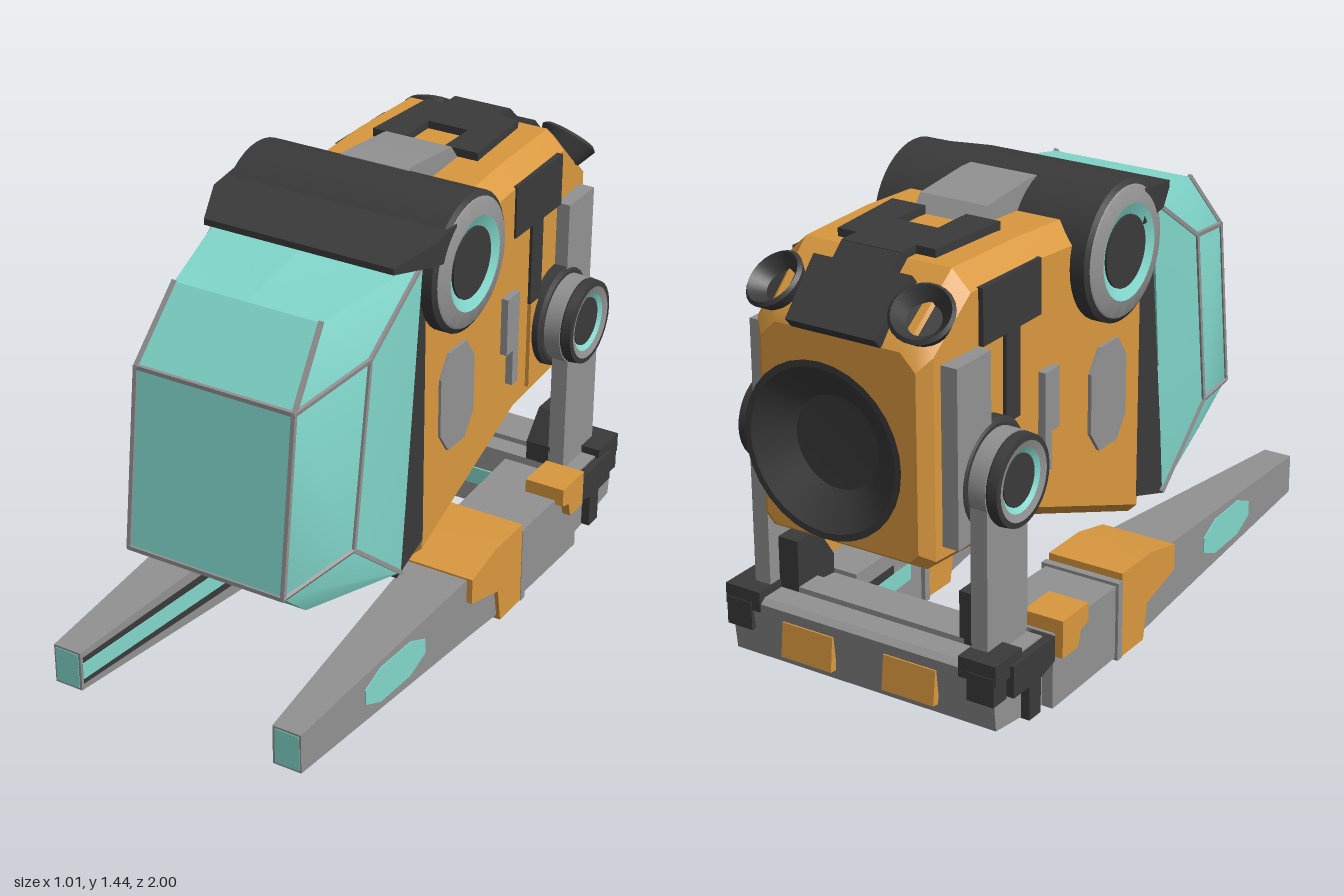
import * as THREE from 'three';
import { toCreasedNormals } from 'three/addons/utils/BufferGeometryUtils.js';

const ORANGE = 0xd9983f, TEAL = 0x82d8cc, DARK = 0x3a3a3a, GREY = 0x929292;
const mats = {};
const mat = c => (mats[c] ??= new THREE.MeshStandardMaterial({ color: c, side: THREE.DoubleSide }));
const V = (x, y, z) => new THREE.Vector3(x, y, z);

// triangles from polygons of points, fanned
function polys(faces) {
  const p = [];
  for (const f of faces)
    for (let i = 1; i < f.length - 1; i++) for (const v of [f[0], f[i], f[i + 1]]) p.push(v.x, v.y, v.z);
  const g = new THREE.BufferGeometry();
  g.setAttribute('position', new THREE.Float32BufferAttribute(p, 3));
  return g;
}

// closed loft through rings ordered front to back, each counter-clockwise seen from the front
function loft(rings) {
  const faces = [rings[0], [...rings.at(-1)].reverse()];
  for (let i = 0; i < rings.length - 1; i++)
    rings[i].forEach((a, j) => {
      const k = (j + 1) % rings[i].length;
      faces.push([a, rings[i + 1][j], rings[i + 1][k], rings[i][k]]);
    });
  return polys(faces);
}

// rectangular ring, with optional top and bottom chamfers
function rect(z, x0, x1, y0, y1, t = 0, b = 0) {
  if (!t) return [V(x0, y0, z), V(x1, y0, z), V(x1, y1, z), V(x0, y1, z)];
  return [V(x0 + b, y0, z), V(x1 - b, y0, z), V(x1, y0 + b, z), V(x1, y1 - t, z),
    V(x1 - t, y1, z), V(x0 + t, y1, z), V(x0, y1 - t, z), V(x0, y0 + b, z)];
}

const box = (x0, x1, y0, y1, z0, z1) =>
  new THREE.BoxGeometry(x1 - x0, y1 - y0, z1 - z0).translate((x0 + x1) / 2, (y0 + y1) / 2, (z0 + z1) / 2);

const extrude = (pts, depth) => new THREE.ExtrudeGeometry(
  new THREE.Shape(pts.map(p => new THREE.Vector2(...p))), { depth, bevelEnabled: false });

// plate with a [z, y] outline between two x values
const sidePlate = (pts, x0, x1) =>
  extrude(pts.map(([z, y]) => [-z, y]), x1 - x0).rotateY(Math.PI / 2).translate(x0, 0, 0);

// symmetric plate lying flat, from its right half [x, z] outline
const topPlate = (half, y, h) =>
  extrude([...half, ...half.map(([x, z]) => [-x, z]).reverse()].map(([x, z]) => [x, -z]), h)
    .rotateX(-Math.PI / 2).translate(0, y, 0);

// turned part: [radius, height] profile along a direction
function turned(profile, dir, pos, sides = 32) {
  const q = new THREE.Quaternion().setFromUnitVectors(V(0, 1, 0), dir.clone().normalize());
  return new THREE.LatheGeometry(profile.map(p => new THREE.Vector2(...p)), sides)
    .applyQuaternion(q).translate(pos.x, pos.y, pos.z);
}

function bar(a, b, w) {
  const q = new THREE.Quaternion().setFromUnitVectors(V(0, 0, 1), b.clone().sub(a).normalize());
  const m = a.clone().add(b).multiplyScalar(0.5);
  return new THREE.BoxGeometry(w, w, a.distanceTo(b) + w * 0.6).applyQuaternion(q).translate(m.x, m.y, m.z);
}

// octagonal outline in [z, y]
const octagon = (z0, z1, y0, y1, cz, cy) => [[z0 + cz, y0], [z1 - cz, y0], [z1, y0 + cy], [z1, y1 - cy],
  [z1 - cz, y1], [z0 + cz, y1], [z0, y1 - cy], [z0, y0 + cy]];

function mirrored(geo) {
  const g = geo.index ? geo.toNonIndexed() : geo.clone();
  g.scale(-1, 1, 1);
  const p = g.attributes.position, a = V(0, 0, 0), b = V(0, 0, 0);
  for (let i = 0; i < p.count; i += 3) {
    a.fromBufferAttribute(p, i + 1); b.fromBufferAttribute(p, i + 2);
    p.setXYZ(i + 1, b.x, b.y, b.z); p.setXYZ(i + 2, a.x, a.y, a.z);
  }
  return g;
}

export function createModel() {
  const root = new THREE.Group();
  root.name = 'podCraft';
  const add = (name, color, geo) => {
    const m = new THREE.Mesh(toCreasedNormals(geo, 0.45), mat(color));
    m.name = name;
    root.add(m);
  };
  const pair = (name, color, geo) => {
    add(name + 'Left', color, geo);
    add(name + 'Right', color, mirrored(geo));
  };
  const X = V(1, 0, 0);

  // main hull
  add('hull', ORANGE, loft([
    rect(0.16, -0.325, 0.325, 0.30, 1.33, 0.06, 0.03), rect(-0.42, -0.315, 0.315, 0.52, 1.365, 0.06, 0.03),
    rect(-0.72, -0.305, 0.305, 0.53, 1.365, 0.06, 0.03), rect(-0.885, -0.295, 0.295, 0.535, 1.23, 0.06, 0.03),
    rect(-0.92, -0.26, 0.26, 0.56, 1.18, 0.05, 0.03)]));
  add('bellyPlate', ORANGE, sidePlate([[-0.02, 0.41], [-0.04, 0.355], [-0.15, 0.395], [-0.17, 0.42], [-0.23, 0.43], [-0.23, 0.48]], -0.2, 0.2));

  // canopy: half of a faceted shell, mirrored
  const half = [[0, 1.33, 0.20], [0.245, 1.26, 0.59], [0.265, 1.06, 0.76], [0.265, 0.50, 0.83], [0.25, 0.38, 0.69], [0, 0.30, 0.32]];
  const P = half.map(p => V(...p)), C = half.map(([, y, z]) => V(0, y, z));
  const B0 = V(0.34, 1.31, 0.20), B1 = V(0.335, 0.325, 0.30), S0 = V(0.335, 1.12, 0.48), S1 = V(0.33, 0.54, 0.56);
  pair('canopy', TEAL, polys([[C[1], P[1], B0, C[0]], ...[1, 2, 3].map(i => [C[i + 1], P[i + 1], P[i], C[i]]),
    [C[5], B1, P[4], C[4]], [P[1], P[2], S0, B0], [P[2], P[3], S1, S0], [P[3], P[4], B1, S1], [S0, S1, B1, B0]]));
  for (const [a, b] of [[P[2], P[3]], [P[1], P[2]], [C[2], P[2]], [C[3], P[3]], [P[2], S0], [P[3], S1], [S0, S1], [S0, B0], [S1, B1]])
    pair('canopySeam', GREY, bar(a, b, 0.013));

  // dark skirt and hood between canopy and hull
  add('canopySkirt', DARK, loft([
    [V(-0.33, 0.31, 0.315), V(0.33, 0.31, 0.315), V(0.335, 1.315, 0.19), V(-0.335, 1.315, 0.19)],
    rect(0.155, -0.325, 0.325, 0.36, 1.36)]));
  add('hood', DARK, loft([rect(0.33, -0.32, 0.32, 1.315, 1.335), rect(0.19, -0.38, 0.38, 1.30, 1.375),
    rect(0.08, -0.38, 0.38, 1.28, 1.39)]));

  // cross drum with ringed ends
  const drum = V(0, 1.225, -0.02);
  add('drum', DARK, turned([[0, -0.36], [0.2, -0.375], [0.215, -0.365], [0.215, 0.365], [0.2, 0.375], [0, 0.36]], X, drum, 40));
  pair('drumRing', GREY, turned([[0.203, 0.372], [0.195, 0.378], [0.145, 0.388]], X, drum, 40));
  pair('drumLens', TEAL, turned([[0.145, 0.388], [0.108, 0.37]], X, drum, 40));
  pair('drumCap', DARK, turned([[0.11, 0.36], [0.11, 0.378], [0, 0.378]], X, drum, 40));

  // roof plates
  add('roofTongue', GREY, sidePlate([[-0.09, 1.3], [-0.09, 1.43], [-0.14, 1.43], [-0.35, 1.41], [-0.39, 1.36]], -0.115, 0.115));
  add('roofPlate', DARK, topPlate([[0.07, -0.53], [0.07, -0.39], [0.185, -0.39], [0.165, -0.68], [0.10, -0.68], [0.10, -0.75]], 1.35, 0.04));
  const slope = topPlate([[0.10, 0], [0.10, -0.06], [0.165, -0.06], [0.15, -0.27]], -0.02, 0.04);
  add('roofSlope', DARK, slope.rotateX(-0.73).translate(0, 1.375, -0.735));

  // small thruster cups on the rear shoulders
  pair('shoulderCup', DARK, turned([[0, -0.06], [0.055, -0.06], [0.095, 0.035], [0.085, 0.045], [0.05, 0.0], [0, 0.0]],
    V(0.2, 0.74, -0.62), V(0.24, 1.255, -0.845), 24));

  // main rear nozzle
  add('rearNozzle', DARK, turned([[0.15, -0.02], [0.175, 0.01], [0.265, 0.08], [0.245, 0.08], [0.14, 0.008], [0, 0.004]],
    V(0, 0, -1), V(0, 0.87, -0.92), 32));

  // hull side panels
  pair('sideHatch', GREY, sidePlate(octagon(-0.13, 0.07, 0.605, 0.935, 0.05, 0.07), 0.3, 0.332));
  pair('sideVent', GREY, sidePlate([[-0.32, 0.965], [-0.395, 0.965], [-0.395, 0.655], [-0.36, 0.655], [-0.36, 0.775], [-0.32, 0.775]], 0.3, 0.34));
  pair('sideMarking', DARK, sidePlate([[-0.39, 1.31], [-0.685, 1.31], [-0.685, 1.14], [-0.57, 1.14], [-0.57, 0.86], [-0.50, 0.86], [-0.50, 1.14], [-0.39, 1.14]], 0.28, 0.322));
  pair('sideStrip', ORANGE, box(0.29, 0.325, 0.58, 0.87, -0.57, -0.50));
  pair('sidePack', GREY, box(0.28, 0.35, 0.60, 1.14, -0.855, -0.69));

  // leg hubs and legs
  const hub = V(0, 0.765, -0.675);
  pair('hubBase', DARK, turned([[0, 0.29], [0.165, 0.29], [0.165, 0.345], [0.15, 0.355], [0, 0.355]], X, hub));
  pair('hubDrum', GREY, turned([[0.14, 0.35], [0.14, 0.41], [0, 0.41]], X, hub));
  pair('hubRim', DARK, turned([[0.135, 0.408], [0.138, 0.415], [0.135, 0.445], [0.118, 0.447]], X, hub));
  pair('hubRing', GREY, turned([[0.118, 0.447], [0.095, 0.44]], X, hub));
  pair('hubLens', TEAL, turned([[0.097, 0.44], [0.075, 0.425]], X, hub));
  pair('hubCap', DARK, turned([[0.078, 0.41], [0.078, 0.432], [0, 0.432]], X, hub));
  pair('leg', GREY, sidePlate([[-0.6, 0.76], [-0.6, 0.27], [-0.63, 0.22], [-0.78, 0.22], [-0.805, 0.27], [-0.805, 0.76]], 0.355, 0.41));
  pair('legBrace', DARK, loft([rect(-0.6, 0.275, 0.36, 0.22, 0.32), rect(-0.66, 0.285, 0.36, 0.22, 0.42), rect(-0.76, 0.285, 0.36, 0.22, 0.42)]));

  // skids with tip, inner groove and window
  pair('skid', GREY, loft([rect(1, 0.335, 0.43, 0.07, 0.20), rect(0.1, 0.255, 0.465, 0.03, 0.245),
    rect(-0.2, 0.23, 0.475, 0.01, 0.25), rect(-0.57, 0.215, 0.478, 0.008, 0.25)]));
  pair('skidTip', TEAL, box(0.343, 0.424, 0.077, 0.193, 0.98, 1.002));
  pair('skidGroove', DARK, loft([rect(0.99, 0.333, 0.36, 0.09, 0.18), rect(0.1, 0.252, 0.3, 0.075, 0.195), rect(-0.55, 0.212, 0.26, 0.075, 0.195)]));
  pair('skidStrip', TEAL, loft([rect(0.995, 0.331, 0.36, 0.108, 0.162), rect(0.1, 0.25, 0.3, 0.105, 0.165), rect(-0.55, 0.21, 0.26, 0.105, 0.165)]));
  pair('skidWindow', TEAL, sidePlate(octagon(-0.16, 0.16, 0.08, 0.2, 0.08, 0.035), -0.02, 0.003).rotateY(-0.039).translate(0.449, 0, 0.52));

  // orange cuffs and clips on the skids
  pair('skidCuff', ORANGE, sidePlate([[0.125, 0.25], [-0.02, 0.283], [-0.19, 0.283], [-0.19, 0.004], [-0.06, 0.004], [-0.04, 0.12], [0.125, 0.165]], 0.225, 0.483));
  pair('cuffEdge', GREY, box(0.215, 0.485, 0.002, 0.26, -0.215, -0.19));
  pair('skidClip', ORANGE, sidePlate([[-0.42, 0.295], [-0.56, 0.295], [-0.56, 0.175], [-0.475, 0.175], [-0.46, 0.225], [-0.42, 0.235]], 0.37, 0.505));

  // rear crossbar
  add('crossbar', GREY, sidePlate([[-0.6, 0.03], [-0.84, 0.06], [-0.86, 0.24], [-0.84, 0.255], [-0.6, 0.255]], -0.46, 0.46));
  add('crossbarRail', GREY, box(-0.3, 0.3, 0.25, 0.272, -0.76, -0.67));
  add('crossbarStrip', TEAL, box(-0.25, 0.25, 0.105, 0.165, -0.62, -0.594));
  pair('crossbarPanel', ORANGE, box(-0.09, 0.09, -0.055, 0.055, -0.012, 0.012).rotateX(0.105).translate(0.18, 0.15, -0.856));

  // dark corner clamps
  pair('clampTop', DARK, box(0.35, 0.475, 0.215, 0.28, -0.865, -0.73));
  pair('clampSide', DARK, sidePlate([[-0.575, 0.25], [-0.79, 0.25], [-0.79, 0.15], [-0.71, 0.15], [-0.71, 0.04], [-0.65, 0.04], [-0.65, 0.15], [-0.575, 0.17]], 0.41, 0.488));
  pair('clampRear', DARK, box(0.38, 0.47, 0.15, 0.24, -0.868, -0.8));
  return root;
}
